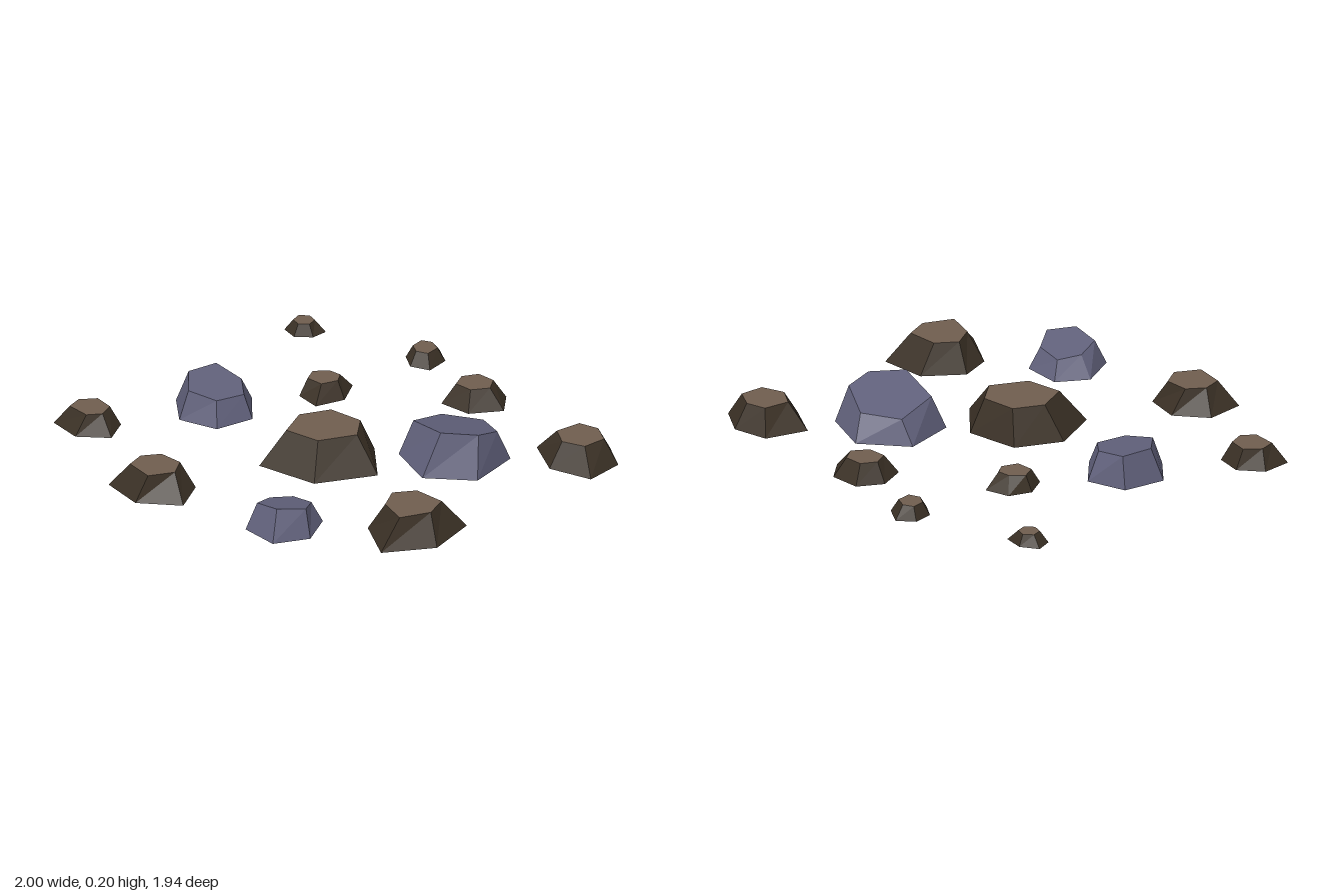
import * as THREE from 'three';

const material = (name, color) => {
  const m = new THREE.MeshStandardMaterial({ color });
  m.name = name;
  return m;
};

// Six-sided ring of [x, z] pairs lifted to a height rule
const ring = (flat, heightAt) => {
  const points = [];
  for (let i = 0; i < flat.length; i += 2) {
    points.push(new THREE.Vector3(flat[i], heightAt(flat[i], flat[i + 1]), flat[i + 1]));
  }
  return points;
};

// Faceted frustum between a ground outline and a top outline, both listed clockwise from above.
// height is taken at the first top corner; slope tilts the top along x and z.
function rockGeometry(base, top, height, slope) {
  const low = ring(base, () => 0);
  const high = ring(top, (x, z) => height + slope[0] * (x - top[0]) + slope[1] * (z - top[1]));
  const n = low.length;
  const sides = [], cap = [], underside = [];
  for (let i = 0; i < n; i++) {
    const j = (i + 1) % n;
    sides.push(low[i], high[i], low[j], low[j], high[i], high[j]);
    if (i > 0 && i < n - 1) {
      cap.push(high[0], high[j], high[i]);
      underside.push(low[0], low[i], low[j]);
    }
  }
  const geometry = new THREE.BufferGeometry().setFromPoints([...sides, ...cap, ...underside]);
  geometry.addGroup(0, sides.length, 0);
  geometry.addGroup(sides.length, cap.length, 1);
  geometry.addGroup(sides.length + cap.length, underside.length, 2);
  geometry.computeVertexNormals(); // unshared corners give flat facets
  return geometry;
}

export function createModel() {
  const model = new THREE.Group();
  model.name = 'rockField';

  const darkBrown = material('darkBrownSide', 0x3a3025);
  const lightBrown = material('lightBrownTop', 0x6f5d4e);
  const slate = material('slateStone', 0x60607a);
  const black = material('blackUnderside', 0x050505);

  const addRock = (name, materials, height, slope, base, top) => {
    const mesh = new THREE.Mesh(rockGeometry(base, top, height, slope), materials);
    mesh.name = name;
    model.add(mesh);
  };
  const mound = (name, height, base, top) =>
    addRock(name, [darkBrown, lightBrown, black], height, [0, 0], base, top);
  const stone = (name, height, slope, base, top) =>
    addRock(name, [slate, slate, black], height, slope, base, top);

  // Flat-topped brown mounds
  mound('centreMound', 0.157,
    [-0.11, -0.1, 0.13, -0.155, 0.325, 0, 0.195, 0.26, -0.09, 0.33, -0.2, 0.11],
    [-0.05, -0.06, 0.11, -0.09, 0.2, 0.01, 0.125, 0.175, -0.04, 0.215, -0.11, 0.075]);
  mound('backLeftMound', 0.113,
    [0.655, -0.89, 0.815, -0.935, 0.96, -0.855, 0.98, -0.675, 0.785, -0.605, 0.6, -0.695],
    [0.715, -0.845, 0.805, -0.875, 0.895, -0.83, 0.89, -0.72, 0.79, -0.675, 0.7, -0.725]);
  mound('leftMound', 0.133,
    [0.715, 0.04, 0.93, 0.015, 0.995, 0.25, 0.865, 0.465, 0.655, 0.355, 0.6, 0.21],
    [0.725, 0.125, 0.87, 0.11, 0.915, 0.215, 0.86, 0.35, 0.725, 0.315, 0.665, 0.22]);
  mound('backMound', 0.09,
    [0.025, -0.89, 0.165, -0.905, 0.255, -0.81, 0.17, -0.675, 0.02, -0.65, -0.035, -0.775],
    [0.05, -0.845, 0.135, -0.855, 0.18, -0.795, 0.135, -0.72, 0.05, -0.71, 0.015, -0.775]);
  mound('smallBackMound', 0.06,
    [-0.355, -0.975, -0.26, -0.925, -0.24, -0.815, -0.325, -0.775, -0.405, -0.82, -0.42, -0.91],
    [-0.345, -0.925, -0.29, -0.905, -0.28, -0.84, -0.33, -0.815, -0.38, -0.84, -0.39, -0.9]);
  mound('tinyBackRightMound', 0.052,
    [-0.905, -0.72, -0.81, -0.71, -0.81, -0.635, -0.87, -0.575, -0.95, -0.59, -0.98, -0.665],
    [-0.9, -0.695, -0.855, -0.685, -0.84, -0.64, -0.875, -0.605, -0.92, -0.615, -0.935, -0.66]);
  mound('smallRightMound', 0.075,
    [-0.475, -0.43, -0.365, -0.47, -0.29, -0.355, -0.33, -0.22, -0.45, -0.23, -0.51, -0.325],
    [-0.435, -0.395, -0.375, -0.405, -0.34, -0.36, -0.365, -0.285, -0.445, -0.275, -0.48, -0.335]);
  mound('frontRightMound', 0.09,
    [-0.905, 0.515, -0.78, 0.53, -0.715, 0.645, -0.83, 0.755, -0.99, 0.74, -1, 0.605],
    [-0.905, 0.555, -0.815, 0.565, -0.785, 0.635, -0.825, 0.695, -0.935, 0.695, -0.955, 0.625]);
  mound('frontMound', 0.113,
    [-0.295, 0.645, -0.13, 0.67, -0.04, 0.825, -0.2, 0.965, -0.405, 0.94, -0.425, 0.765],
    [-0.305, 0.715, -0.195, 0.705, -0.14, 0.785, -0.195, 0.895, -0.33, 0.88, -0.355, 0.795]);

  // Slate stones with tilted tops
  stone('largeStone', 0.114, [0.142, 0.224],
    [0.365, -0.615, 0.6, -0.54, 0.655, -0.295, 0.475, -0.13, 0.24, -0.2, 0.18, -0.44],
    [0.41, -0.55, 0.59, -0.47, 0.6, -0.35, 0.49, -0.225, 0.27, -0.26, 0.245, -0.45]);
  stone('rightStone', 0.124, [-0.16, 0],
    [-0.58, -0.065, -0.43, 0.065, -0.465, 0.245, -0.64, 0.31, -0.785, 0.2, -0.755, 0.005],
    [-0.57, 0.005, -0.475, 0.075, -0.505, 0.21, -0.63, 0.265, -0.74, 0.165, -0.72, 0.02]);
  stone('frontLeftStone', 0.082, [0.16, 0.19],
    [0.295, 0.46, 0.475, 0.46, 0.56, 0.61, 0.485, 0.765, 0.305, 0.765, 0.215, 0.6],
    [0.33, 0.505, 0.45, 0.505, 0.52, 0.6, 0.45, 0.71, 0.32, 0.71, 0.285, 0.605]);

  return model;
}
